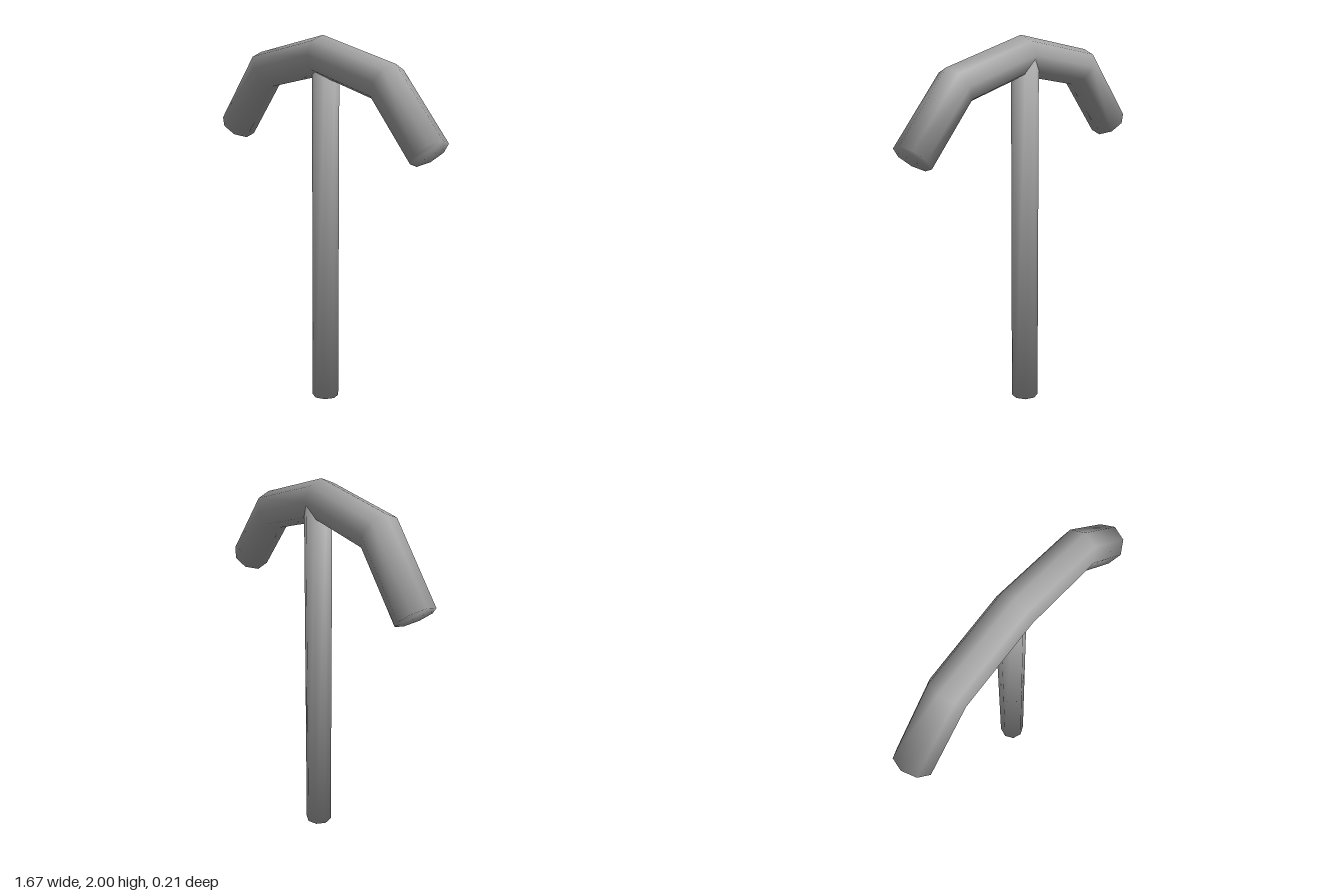
import * as THREE from 'three';

const SIDES = 8;

// Closed octagonal bar swept along 2D points at depth z, mitred at the bends, with softly shaded ends
function sweptBar(points, radius, z) {
  const positions = [], normals = [], index = [];
  const path = points.map(([x, y]) => new THREE.Vector2(x, y));
  const last = path.length - 1;
  path.forEach((p, i) => {
    const before = path[i].clone().sub(path[Math.max(i - 1, 0)]).normalize();
    const after = path[Math.min(i + 1, last)].clone().sub(path[i]).normalize();
    const t = before.clone().add(after).normalize();
    const mitre = i > 0 && i < last ? 1 / t.dot(after) : 1;
    const cap = i === 0 ? -0.8 : i === last ? 0.8 : 0;
    for (let j = 0; j < SIDES; j++) {
      const a = (j / SIDES) * Math.PI * 2, c = Math.cos(a), s = Math.sin(a);
      positions.push(p.x - t.y * c * radius * mitre, p.y + t.x * c * radius * mitre, z + s * radius);
      const n = new THREE.Vector3(-t.y * c + t.x * cap, t.x * c + t.y * cap, s).normalize();
      normals.push(n.x, n.y, n.z);
    }
  });
  // Side faces
  for (let i = 0; i < last; i++) {
    for (let j = 0; j < SIDES; j++) {
      const a = i * SIDES + j, b = i * SIDES + (j + 1) % SIDES;
      index.push(a, b, b + SIDES, a, b + SIDES, a + SIDES);
    }
  }
  // End caps
  const end = last * SIDES;
  for (let j = 1; j < SIDES - 1; j++) {
    index.push(0, j + 1, j, end, end + j, end + j + 1);
  }
  const geometry = new THREE.BufferGeometry();
  geometry.setAttribute('position', new THREE.Float32BufferAttribute(positions, 3));
  geometry.setAttribute('normal', new THREE.Float32BufferAttribute(normals, 3));
  geometry.setIndex(index);
  return geometry;
}

export function createModel() {
  const model = new THREE.Group();
  model.name = 'pickaxe';
  const grey = new THREE.MeshStandardMaterial({ color: 0xa6a6a6 });
  grey.name = 'plain grey';

  // Straight handle, set slightly behind the head's centre line
  const handle = new THREE.Mesh(sweptBar([[0, 0], [0, 1.88]], 0.073, -0.024), grey);
  handle.name = 'handle';

  // Bent head, lower on the model's left
  const head = new THREE.Mesh(sweptBar([
    [-0.759, 1.496], [-0.473, 1.828], [-0.002, 1.895], [0.474, 1.753], [0.757, 1.424],
  ], 0.104, 0), grey);
  head.name = 'head';

  model.add(handle, head);
  return model;
}
